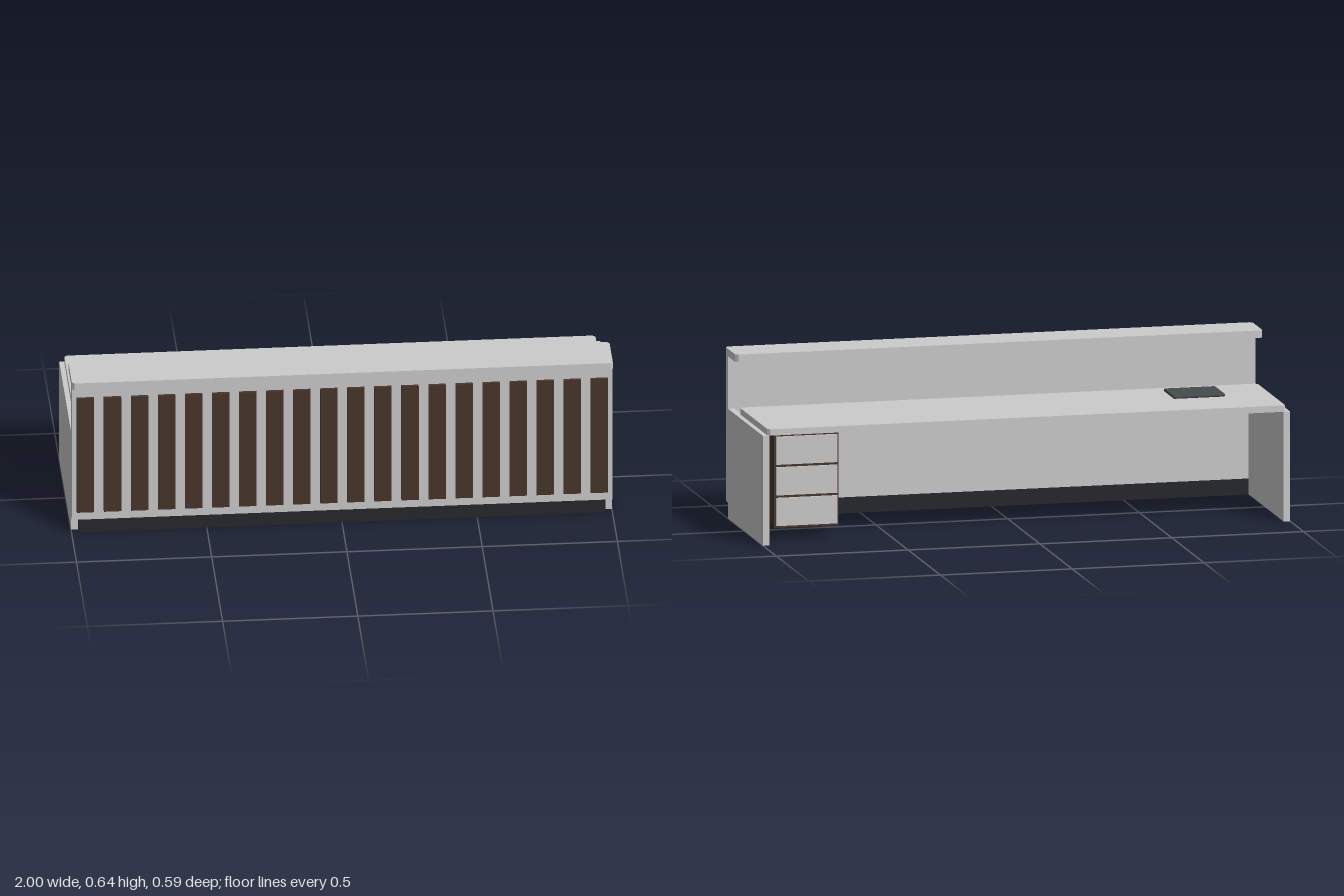
import * as THREE from 'three';
import { RoundedBoxGeometry } from 'three/addons/geometries/RoundedBoxGeometry.js';

const grey = new THREE.MeshStandardMaterial({ color: 0xcccccc });
const wood = new THREE.MeshStandardMaterial({ color: 0x47362b });
const black = new THREE.MeshStandardMaterial({ color: 0x26282b });
const slate = new THREE.MeshStandardMaterial({ color: 0x454c4c });

export function createModel() {
  const model = new THREE.Group();
  model.name = 'receptionDesk';

  const add = (name, geometry, material) => {
    const mesh = new THREE.Mesh(geometry, material);
    mesh.name = name;
    model.add(mesh);
    return mesh;
  };

  // Box given by its limits on each axis
  const box = (name, [x0, x1], [y0, y1], [z0, z1], material = grey) =>
    add(name, new THREE.BoxGeometry(x1 - x0, y1 - y0, z1 - z0), material)
      .position.set((x0 + x1) / 2, (y0 + y1) / 2, (z0 + z1) / 2);

  // Horizontal board with chamfered vertical corners
  const board = (name, halfWidth, [y0, y1], [z0, z1], c = 0.01) => {
    const w = halfWidth, d = (z1 - z0) / 2;
    const shape = new THREE.Shape([
      [-w + c, -d], [w - c, -d], [w, -d + c], [w, d - c],
      [w - c, d], [-w + c, d], [-w, d - c], [-w, -d + c],
    ].map(([x, y]) => new THREE.Vector2(x, y)));
    const geometry = new THREE.ExtrudeGeometry(shape, { depth: y1 - y0, bevelEnabled: false });
    geometry.rotateX(-Math.PI / 2);
    add(name, geometry, grey).position.set(0, y0, (z0 + z1) / 2);
  };

  // Carcass: front, sides and recessed plinth
  box('frontPanel', [-1, 1], [0.06, 0.61], [0.248, 0.284]);
  box('leftSidePanel', [0.975, 1], [0, 0.412], [-0.294, 0.248]);
  box('rightSidePanel', [-1, -0.975], [0, 0.412], [-0.294, 0.248]);
  box('plinth', [-0.975, 0.975], [0, 0.06], [0.248, 0.272], black);

  // Work surface and raised counter
  board('worktop', 0.982, [0.412, 0.436], [-0.294, 0.142]);
  board('counterShelf', 1, [0.609, 0.637], [0.131, 0.295]);

  // Vertical slats along the front
  for (let i = 0; i < 20; i++) {
    const x = -0.95 + i * 0.1;
    box('frontSlat', [x - 0.032, x + 0.032], [0.095, 0.572], [0.284, 0.295], wood);
  }

  // Drawer pedestal under the worktop
  box('pedestal', [0.69, 0.935], [0.045, 0.4], [-0.2, 0.12], wood);
  for (let i = 0; i < 3; i++) {
    const y = 0.054 + i * 0.115;
    box('drawerFront', [0.696, 0.929], [y, y + 0.105], [-0.208, -0.2]);
  }

  // Thin pad lying on the worktop
  add('deskPad', new RoundedBoxGeometry(0.197, 0.012, 0.154, 3, 0.005), slate)
    .position.set(-0.708, 0.442, -0.002);

  return model;
}
